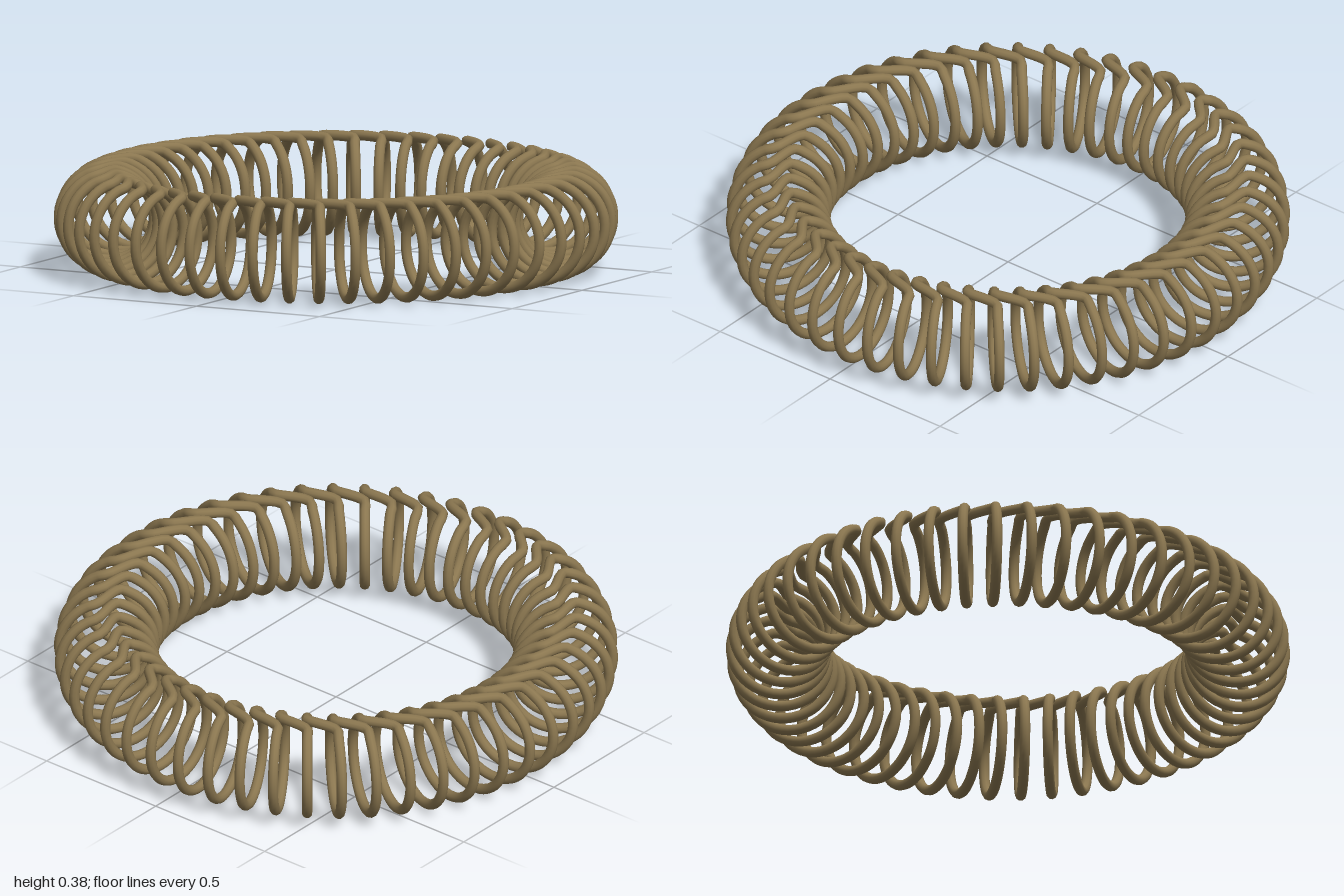
import * as THREE from 'three';

const TURNS = 50;          // loops around the ring
const RING_RADIUS = 0.812; // axis to loop centre
const LOOP_RADIUS = 0.169;
const WIRE_RADIUS = 0.0185;
const STEP = (Math.PI * 2) / TURNS;
const GAP = THREE.MathUtils.degToRad(12); // half opening at the top of each loop
const POINTS = 24;         // points per loop

// Nearly closed flat loops, each yawed by one step and joined to the next by a short kink at the top
function coilPoints() {
  const points = [];
  for (let k = 0; k < TURNS; k++) {
    const a = (k + 0.5) * STEP;
    const yaw = a - STEP; // direction of the loop's plane
    for (let i = 0; i < POINTS; i++) {
      const t = GAP + (i / (POINTS - 1)) * (Math.PI * 2 - 2 * GAP);
      const out = -LOOP_RADIUS * Math.sin(t); // from the top, inward first
      points.push(new THREE.Vector3(
        RING_RADIUS * Math.sin(a) + out * Math.sin(yaw),
        LOOP_RADIUS * Math.cos(t) + LOOP_RADIUS + WIRE_RADIUS,
        -RING_RADIUS * Math.cos(a) - out * Math.cos(yaw)
      ));
    }
  }
  return points;
}

export function createModel() {
  const group = new THREE.Group();
  group.name = 'spiralHairTie';

  // One endless wire
  const path = new THREE.CatmullRomCurve3(coilPoints(), true, 'centripetal');
  path.arcLengthDivisions = TURNS * 100;
  const wire = new THREE.Mesh(
    new THREE.TubeGeometry(path, TURNS * 48, WIRE_RADIUS, 10, true),
    new THREE.MeshStandardMaterial({ color: 0x8b7750 })
  );
  wire.name = 'coiledWire';
  group.add(wire);
  return group;
}
